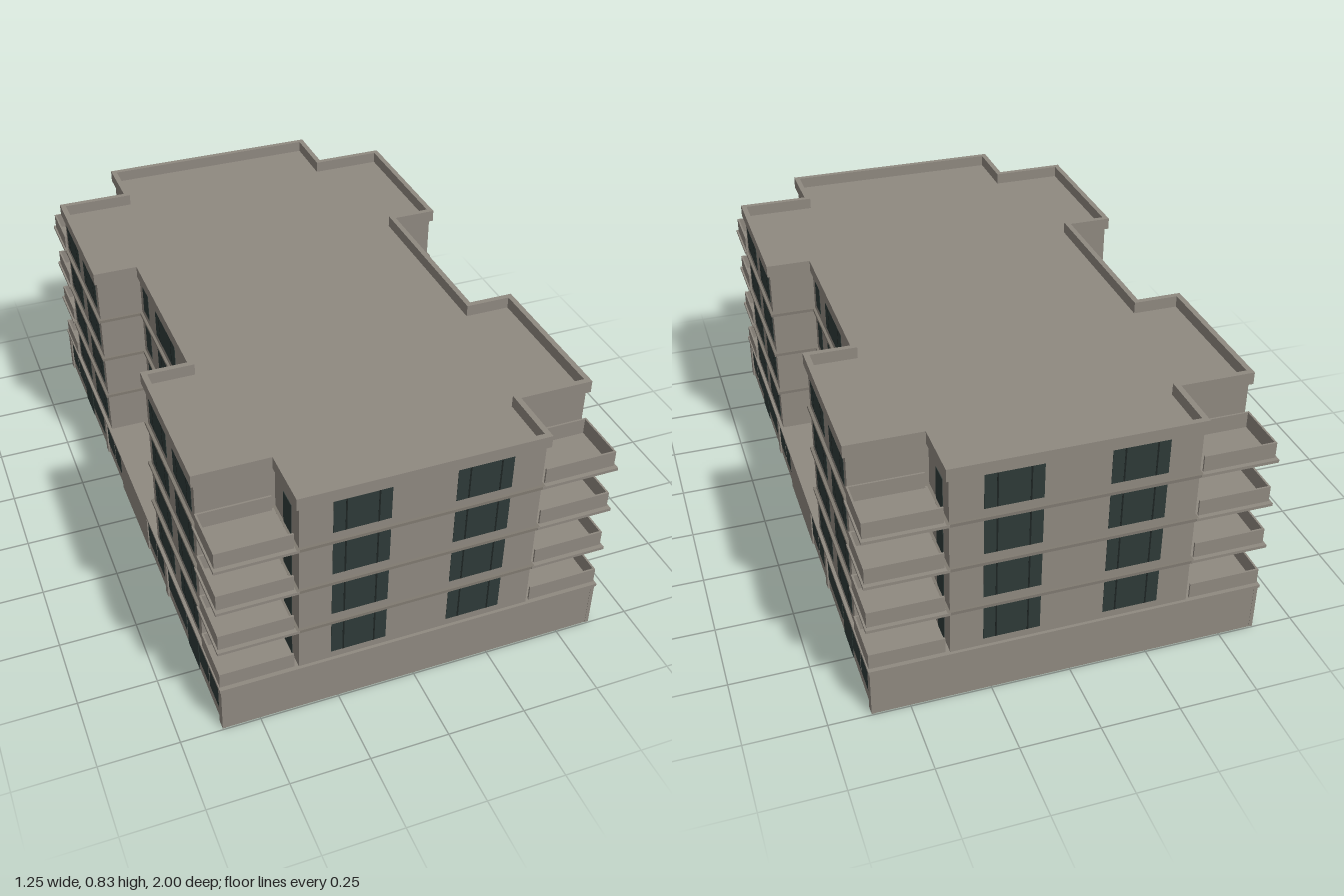
import * as THREE from 'three';

const material = (name, color) => {
  const m = new THREE.MeshStandardMaterial({ color });
  m.name = name;
  return m;
};

export function createModel() {
  const model = new THREE.Group();
  model.name = 'apartmentBlock';
  const wall = material('warm grey render', 0x8f8980);
  const trim = material('slab edge grey', 0x807a71);
  const glass = material('dark green glass', 0x2e3a38);
  const frame = material('dark frame', 0x1d2423);

  const add = (name, geometry, mat, x = 0, y = 0, z = 0) => {
    const mesh = new THREE.Mesh(geometry, mat);
    mesh.name = name;
    mesh.position.set(x, y, z);
    model.add(mesh);
    return mesh;
  };
  const box = (name, mat, w, h, d, x, y, z) => add(name, new THREE.BoxGeometry(w, h, d), mat, x, y, z);

  // Upper floor plan: notched corners and a recess on each long side, offset outwards by o
  const plan = (o) => {
    const quarter = [
      [0.465 + o, 0.305 - o], [0.612 + o, 0.305 - o], [0.612 + o, 0.8 + o],
      [0.375 + o, 0.8 + o], [0.375 + o, 0.99 + o],
    ];
    const half = [...quarter, ...quarter.map(([x, z]) => [-x, z]).reverse()];
    const all = [...half, ...half.map(([x, z]) => [x, -z]).reverse()];
    return all.map(([x, z]) => new THREE.Vector2(x, z));
  };
  const rect = (x, z) => [[x, z], [-x, z], [-x, -z], [x, -z]].map((p) => new THREE.Vector2(...p));

  // Upright extrusion of an outline, optionally hollow
  const prism = (name, mat, outer, inner, y0, y1) => {
    const shape = new THREE.Shape(outer);
    if (inner) shape.holes.push(new THREE.Path(inner));
    const g = new THREE.ExtrudeGeometry(shape, { depth: y1 - y0, bevelEnabled: false });
    g.rotateX(-Math.PI / 2);
    return add(name, g, mat, 0, y0, 0);
  };

  // Glazed plate set in a wall; facing is 'x' or 'z', bars are fractions across the width
  const T = 0.009;
  const pane = (name, facing, wallAt, along, y0, w, h, bars = [], barMat = frame) => {
    const side = Math.sign(wallAt);
    const at = wallAt - side * 0.003;
    const plate = (n, mat, a, width, height, thick) => {
      if (facing === 'x') box(n, mat, thick, height, width, at, y0 + h / 2, a);
      else box(n, mat, width, height, thick, a, y0 + h / 2, at);
    };
    plate(name, glass, along, w, h, T);
    for (const f of bars) plate(name + 'Bar', barMat, along + (f - 0.5) * w, 0.005, h, T + 0.0009);
  };

  // Ground floor, open underneath
  prism('groundWalls', wall, rect(0.612, 0.995), rect(0.606, 0.989), 0, 0.162);
  prism('groundSlab', wall, rect(0.622, 1), plan(-0.012), 0.16, 0.17);

  // Upper walls, roof and parapet
  prism('upperWalls', wall, plan(0), plan(-0.006), 0.168, 0.79);
  prism('roof', wall, plan(-0.002), null, 0.784, 0.792);
  prism('parapet', wall, plan(0.01), plan(-0.008), 0.79, 0.83);

  const pitch = 0.158;
  for (let floor = 0; floor < 4; floor++) {
    const base = 0.165 + pitch * floor;
    const sill = base + 0.03;
    if (floor > 0) prism('floorBand', trim, plan(0.009), plan(-0.014), base - 0.005, base + 0.005);

    for (const sx of [-1, 1]) {
      // Middle window in the side recess
      pane('recessWindow', 'x', sx * 0.465, 0, sill, 0.226, 0.122, [0.2, 0.8]);

      for (const sz of [-1, 1]) {
        pane('endWindow', 'z', sz * 0.99, sx * 0.187, sill, 0.175, 0.122, [0.22, 0.78]);
        pane('narrowWindow', 'x', sx * 0.465, sz * 0.236, sill, 0.064, 0.122);
        for (const z of [0.429, 0.681]) {
          pane('sideWindow', 'x', sx * 0.612, sz * z, sill, 0.182, 0.122, [0.22, 0.78]);
        }
        pane('balconyDoor', 'x', sx * 0.375, sz * 0.902, base + 0.005, 0.064, 0.108);

        // Corner balcony: slab and two solid railings
        if (floor > 0) box('balconySlab', wall, 0.249, 0.0096, 0.2, sx * 0.4995, base, sz * 0.9);
        box('balconyFrontRail', wall, 0.23, 0.053, 0.006, sx * 0.503, base + 0.0305, sz * 0.983);
        box('balconySideRail', wall, 0.006, 0.053, 0.168, sx * 0.615, base + 0.0305, sz * 0.896);
        box('balconyInnerRail', wall, 0.222, 0.053, 0.006, sx * 0.503, base + 0.0305, sz * 0.815);
      }
    }
  }

  // Shopfronts along both long sides
  for (const sx of [-1, 1]) {
    box('middlePanel', wall, 0.008, 0.16, 0.35, sx * 0.613, 0.08, 0);
    for (const sz of [-1, 1]) {
      for (const [z, w] of [[0.858, 0.204], [0.52, 0.204], [0.282, 0.209]]) {
        const bars = z === 0.52 ? [] : [0.5];
        pane('shopWindow', 'x', sx * 0.612, sz * z, 0.043, w, 0.107, bars, wall);
      }
      pane('entranceDoor', 'x', sx * 0.612, sz * 0.691, 0, 0.118, 0.15);
      box('pier', wall, 0.012, 0.16, 0.028, sx * 0.612, 0.08, sz * 0.402);
      box('cornerPier', wall, 0.012, 0.16, 0.03, sx * 0.612, 0.08, sz * 0.981);
    }
  }
  return model;
}
